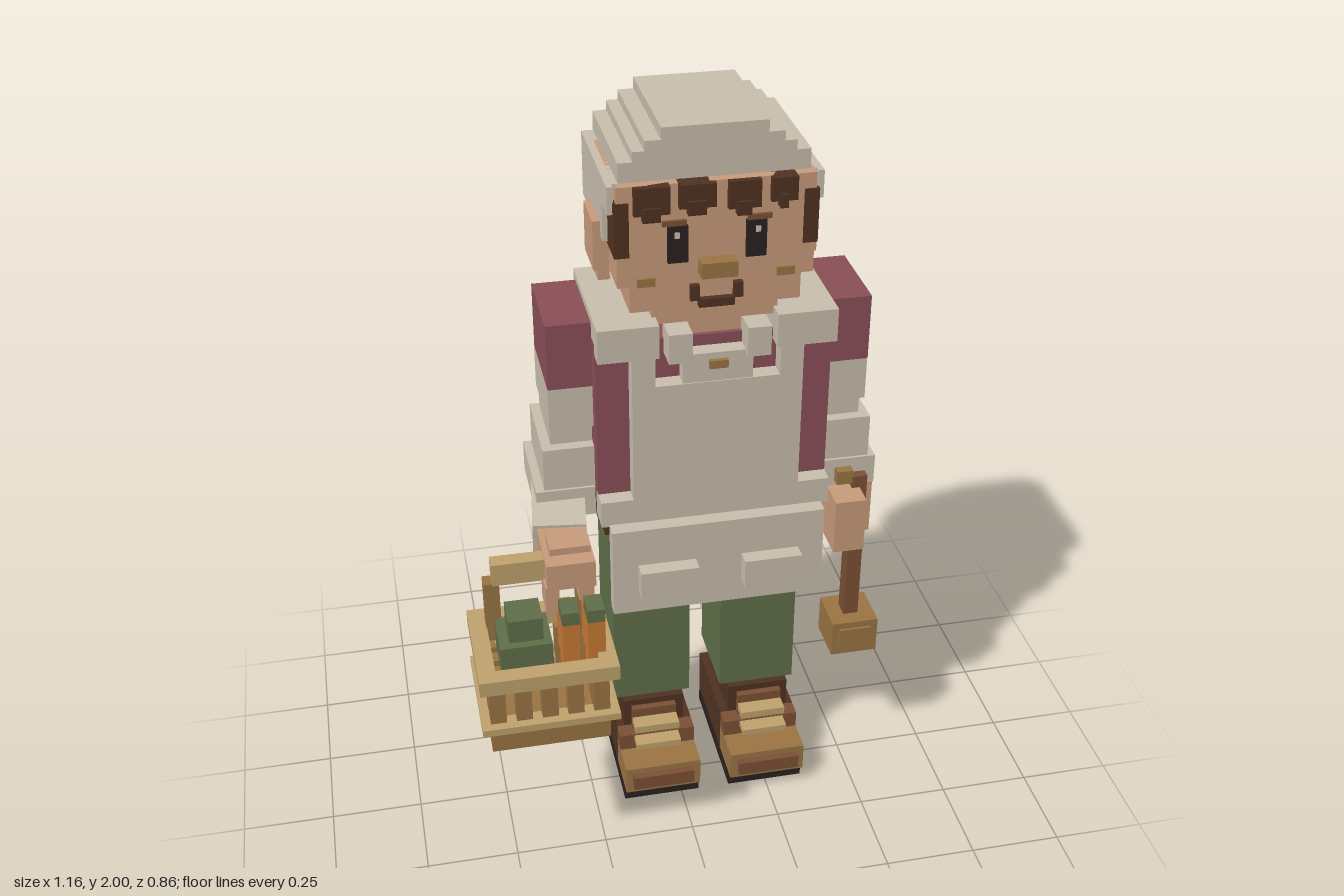
import * as THREE from 'three';

const mat = (name, hex) => {
  const m = new THREE.MeshStandardMaterial({ color: hex });
  m.name = name;
  return m;
};

export function createModel() {
  const linen = mat('linen', 0xc9bfad), maroon = mat('maroon', 0x8a4f57), skin = mat('skin', 0xc99b7b);
  const dark = mat('dark brown', 0x4f3222), black = mat('black', 0x2a2121), green = mat('green', 0x5f6e4a);
  const wood = mat('wood', 0x9a7443), straw = mat('straw', 0xc0a26d), brown = mat('brown', 0x7b5035);
  const orange = mat('orange', 0xc67a35);

  const model = new THREE.Group();
  model.name = 'gardener';
  const CX = 0.095; // centre line of the figure

  // Box given by its limits
  const box = (name, m, x0, x1, y0, y1, z0, z1, parent = model) => {
    const mesh = new THREE.Mesh(new THREE.BoxGeometry(x1 - x0, y1 - y0, z1 - z0), m);
    mesh.position.set((x0 + x1) / 2, (y0 + y1) / 2, (z0 + z1) / 2);
    mesh.name = name;
    parent.add(mesh);
    return mesh;
  };
  // Box centred on the figure, by half width
  const mid = (name, m, h, ...r) => box(name, m, CX - h, CX + h, ...r);
  // Pair of boxes, a..b from the centre line
  const pair = (name, m, a, b, ...r) => {
    box(name, m, CX + a, CX + b, ...r);
    box(name, m, CX - b, CX - a, ...r);
  };

  // Boots
  pair('sole', black, 0.045, 0.262, 0, 0.045, -0.297, 0.098);
  pair('boot', dark, 0.045, 0.262, 0.045, 0.18, -0.297, -0.015);
  pair('toeCap', wood, 0.045, 0.262, 0.045, 0.13, -0.015, 0.122);
  pair('toePlate', brown, 0.067, 0.242, 0.07, 0.112, 0.122, 0.142);
  pair('vamp', brown, 0.045, 0.262, 0.13, 0.18, -0.015, 0.032);
  pair('ankle', dark, 0.067, 0.242, 0.18, 0.27, -0.25, -0.015);
  pair('tongue', brown, 0.092, 0.22, 0.18, 0.25, -0.015, 0.005);
  pair('lowerLace', straw, 0.092, 0.22, 0.158, 0.177, 0, 0.075);
  pair('upperLace', straw, 0.092, 0.22, 0.2, 0.222, 0, 0.05);

  // Trousers and belt
  pair('trouserLeg', green, 0.045, 0.262, 0.27, 0.8, -0.272, -0.035);
  mid('hips', green, 0.27, 0.775, 0.867, -0.3, -0.02);
  mid('belt', dark, 0.285, 0.867, 0.93, -0.318, 0);

  // Shirt
  mid('shirtHem', maroon, 0.285, 0.93, 1.02, -0.3, 0.01);
  mid('shirt', maroon, 0.305, 1.02, 1.46, -0.32, 0.032);
  mid('backPanel', maroon, 0.1, 1.2, 1.38, -0.335, -0.32);
  mid('backPocket', maroon, 0.075, 1.22, 1.35, -0.345, -0.335);

  // Apron
  mid('bib', linen, 0.22, 0.95, 1.35, 0.03, 0.078);
  pair('bibStrap', linen, 0.16, 0.22, 1.35, 1.44, 0.03, 0.078);
  mid('waistBand', linen, 0.305, 0.945, 1.02, 0, 0.077);
  mid('skirt', linen, 0.285, 0.69, 0.95, 0.075, 0.118);
  pair('pocket', linen, 0.062, 0.217, 0.755, 0.84, 0.118, 0.16);
  pair('shoulderStrap', linen, 0.15, 0.305, 1.43, 1.52, -0.285, 0.08);
  pair('strapTurn', linen, 0.13, 0.235, 1.43, 1.495, -0.362, -0.28);
  pair('backStrap', linen, 0.14, 0.2, 1.04, 1.43, -0.36, -0.32);
  for (let i = 0; i < 6; i++) {
    pair('backStud', maroon, 0.2, 0.222, 1.06 + i * 0.066, 1.09 + i * 0.066, -0.358, -0.32);
  }

  // Collar
  mid('collar', linen, 0.09, 1.35, 1.43, 0.03, 0.075);
  pair('collarFlap', linen, 0.07, 0.13, 1.42, 1.5, 0.02, 0.097);
  mid('collarButton', wood, 0.024, 1.39, 1.412, 0.075, 0.087);

  // Sleeves
  pair('shoulder', maroon, 0.305, 0.42, 1.32, 1.5, -0.257, -0.012);
  pair('sleeve', linen, 0.305, 0.415, 1.02, 1.32, -0.25, -0.045);
  pair('upperFold', linen, 0.305, 0.42, 1.2, 1.32, -0.265, -0.015);
  pair('lowerFold', linen, 0.305, 0.44, 1.02, 1.14, -0.265, -0.015);
  pair('cuff', linen, 0.305, 0.462, 0.93, 1.015, -0.28, -0.015);

  // Head, narrowing towards the chin
  mid('neck', skin, 0.07, 1.43, 1.52, -0.24, 0.02);
  mid('chin', skin, 0.16, 1.5, 1.54, -0.27, 0.03);
  mid('jaw', skin, 0.215, 1.54, 1.61, -0.27, 0.035);
  mid('face', skin, 0.245, 1.61, 1.87, -0.27, 0.038);
  pair('ear', skin, 0.24, 0.285, 1.61, 1.74, -0.205, -0.075);
  pair('earLobe', skin, 0.24, 0.27, 1.57, 1.62, -0.18, -0.1);

  // Face details
  pair('eye', black, 0.072, 0.122, 1.67, 1.765, 0.03, 0.05);
  for (const s of [-1, 1]) {
    box('eyeGlint', linen, CX + s * 0.1 - 0.006, CX + s * 0.1 + 0.006, 1.735, 1.75, 0.05, 0.053);
  }
  pair('brow', brown, 0.075, 0.135, 1.765, 1.778, 0.03, 0.047);
  mid('nose', wood, 0.045, 1.635, 1.675, 0.03, 0.08);
  pair('cheek', wood, 0.152, 0.197, 1.61, 1.632, 0.03, 0.045);
  mid('mouth', dark, 0.045, 1.545, 1.567, 0.03, 0.052);
  pair('mouthCorner', dark, 0.043, 0.066, 1.565, 1.605, 0.03, 0.052);

  // Hair
  for (const [x0, x1, y0] of [[-0.11, -0.022, 1.8], [0, 0.09, 1.81], [0.12, 0.2, 1.8], [0.225, 0.29, 1.81]]) {
    box('fringe', dark, x0, x1, y0, 1.87, 0, 0.055);
    box('fringeTip', dark, x0 + 0.02, x1 - 0.025, y0 - 0.015, y0 + 0.02, 0.02, 0.063);
  }
  pair('sideburn', dark, 0.215, 0.252, 1.69, 1.83, -0.055, 0.042);
  mid('backHair', dark, 0.235, 1.63, 1.7, -0.325, -0.26);
  pair('hairTuft', dark, 0.12, 0.2, 1.615, 1.7, -0.34, -0.27);

  // Cap in stepped layers
  for (const [h, y0, y1] of [[0.13, 1.97, 2], [0.17, 1.945, 1.97], [0.2, 1.92, 1.945], [0.235, 1.87, 1.92]]) {
    mid('capLayer', linen, h, y0, y1, -0.342, 0.012);
  }
  mid('capBody', linen, 0.25, 1.8, 1.87, -0.342, 0.012);
  pair('capSide', linen, 0.235, 0.265, 1.7, 1.87, -0.342, -0.045);
  pair('capFrontEdge', linen, 0.25, 0.265, 1.8, 1.87, -0.045, 0.03);
  mid('capBack', linen, 0.235, 1.69, 1.83, -0.365, -0.27);
  box('capTailTop', linen, 0.205, 0.312, 1.7, 1.79, -0.43, -0.36);
  box('capTail', linen, 0.205, 0.312, 1.57, 1.7, -0.405, -0.375);

  // Left hand holding a mallet
  box('leftHand', skin, 0.425, 0.51, 0.775, 0.935, -0.235, 0.077);
  box('leftWrist', skin, 0.43, 0.552, 0.775, 0.935, -0.235, -0.01);
  const mallet = new THREE.Group();
  mallet.name = 'mallet';
  model.add(mallet);
  box('malletHandle', brown, 0.488, 0.53, 0.5, 0.97, -0.035, 0.012, mallet);
  box('malletCap', wood, 0.445, 0.49, 0.95, 0.99, -0.035, 0.012, mallet);
  box('malletHead', wood, 0.445, 0.577, 0.4, 0.507, -0.077, 0.055, mallet);
  box('malletFace', wood, 0.465, 0.555, 0.42, 0.487, 0.055, 0.062, mallet);

  // Right forearm reaching forward to the basket
  const reach = box('rightForearm', linen, -0.375, -0.235, 0.9, 0.99, -0.2, 0.08);
  reach.rotation.set(0.12, -0.12, 0);
  box('rightHand', skin, -0.38, -0.255, 0.89, 0.965, 0.03, 0.25);
  box('rightPalm', skin, -0.365, -0.26, 0.86, 0.985, 0.13, 0.205);
  box('rightThumb', skin, -0.385, -0.35, 0.82, 0.9, 0.17, 0.25);
  box('rightFinger', skin, -0.3, -0.26, 0.85, 0.9, 0.18, 0.25);

  // Basket
  const basket = new THREE.Group();
  basket.name = 'basket';
  model.add(basket);
  const ring = (name, y0, y1, t) => {
    const [x0, x1, z0, z1] = [-0.58, -0.228, 0.12, 0.428];
    box(name, straw, x0, x1, y0, y1, z0, z0 + t, basket);
    box(name, straw, x0, x1, y0, y1, z1 - t, z1, basket);
    box(name, straw, x0, x0 + t, y0, y1, z0 + t, z1 - t, basket);
    box(name, straw, x1 - t, x1, y0, y1, z0 + t, z1 - t, basket);
  };
  ring('basketRim', 0.723, 0.765, 0.045);
  ring('basketBand', 0.593, 0.613, 0.05);
  box('basketBase', wood, -0.557, -0.252, 0.522, 0.605, 0.145, 0.405, basket);
  for (let i = 0; i < 5; i++) {
    const x = -0.557 + i * 0.066;
    for (const z of [0.145, 0.365]) box('slat', wood, x, x + 0.041, 0.605, 0.723, z, z + 0.04, basket);
  }
  for (let i = 1; i < 4; i++) {
    const z = 0.145 + i * 0.056;
    for (const x of [-0.557, -0.292]) box('sideSlat', wood, x, x + 0.04, 0.605, 0.723, z, z + 0.035, basket);
  }
  for (const x of [-0.537, -0.3]) box('handlePost', wood, x, x + 0.04, 0.72, 0.9, 0.165, 0.205, basket);
  box('basketHandle', straw, -0.515, -0.265, 0.895, 0.958, 0.165, 0.207, basket);

  // Vegetables
  box('cabbage', green, -0.517, -0.385, 0.7, 0.81, 0.23, 0.36, basket);
  box('cabbageTop', green, -0.492, -0.405, 0.81, 0.875, 0.25, 0.338, basket);
  for (const x of [-0.36, -0.296]) {
    box('carrot', orange, x, x + 0.044, 0.7, 0.86, 0.295, 0.362, basket);
    box('carrotLeaves', green, x, x + 0.044, 0.86, 0.897, 0.295, 0.362, basket);
    box('secondCarrot', orange, x + 0.005, x + 0.04, 0.7, 0.84, 0.215, 0.275, basket);
  }

  return model;
}
